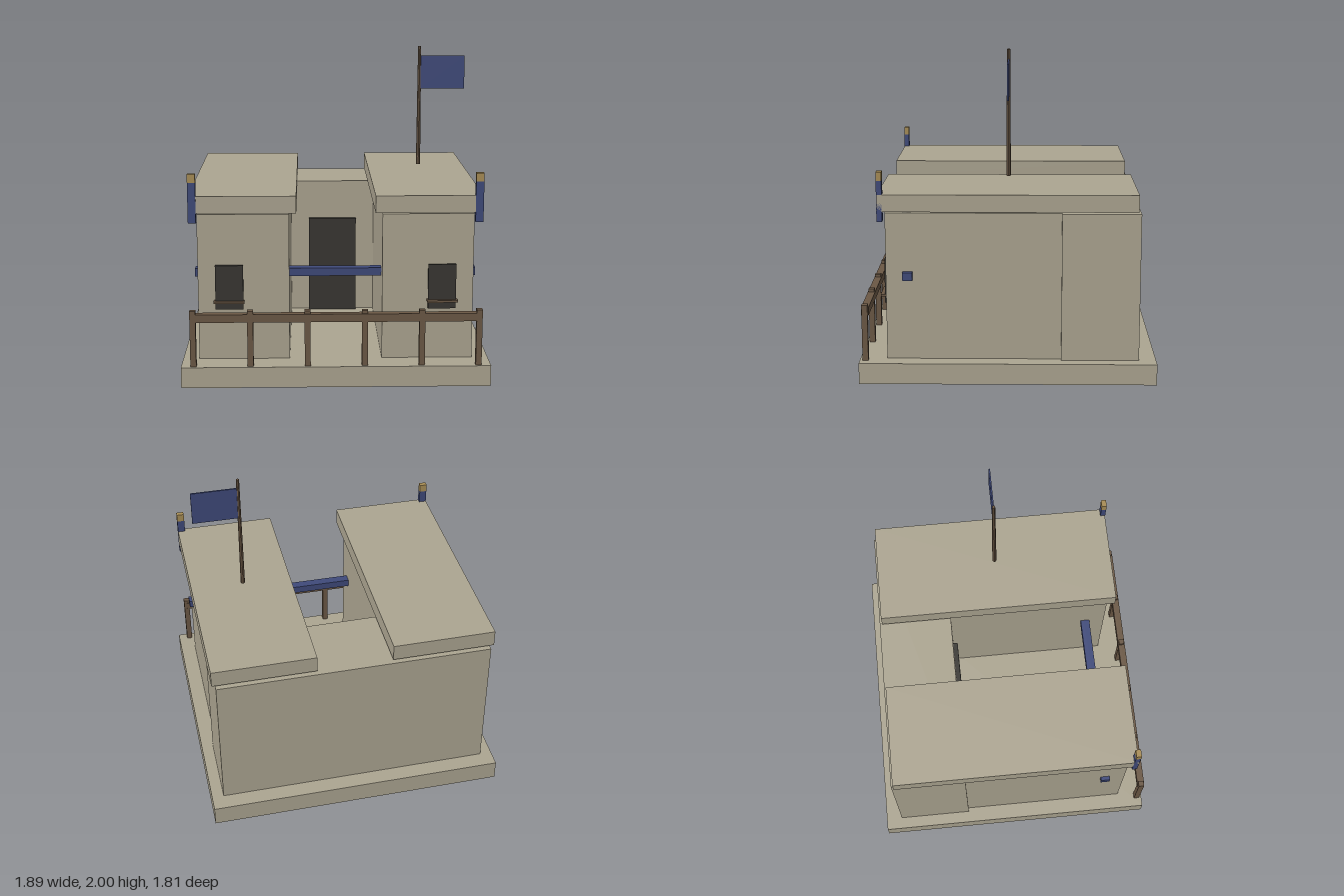
import * as THREE from 'three';

const mat = (color) => new THREE.MeshStandardMaterial({ color, flatShading: true });

export function createModel() {
  const model = new THREE.Group();
  const clay = mat(0xaca591), wood = mat(0x6b5845), dark = mat(0x383632);
  const blue = mat(0x3f4a7a), gold = mat(0xa88d55);

  const add = (name, geometry, material, x, y, z) => {
    const mesh = new THREE.Mesh(geometry, material);
    mesh.name = name;
    mesh.position.set(x, y, z);
    model.add(mesh);
    return mesh;
  };
  // Box given by its minimum and maximum on each axis
  const box = (name, material, [x0, x1], [y0, y1], [z0, z1]) =>
    add(name, new THREE.BoxGeometry(x1 - x0, y1 - y0, z1 - z0), material,
      (x0 + x1) / 2, (y0 + y1) / 2, (z0 + z1) / 2);

  // Plinth and rear block with its recessed doorway
  box('base', clay, [-0.945, 0.945], [0, 0.13], [-0.905, 0.905]);
  box('rearBlock', clay, [-0.87, 0.87], [0.13, 1.045], [-0.8, -0.325]);
  box('door', dark, [-0.163, 0.163], [0.13, 0.785], [-0.325, -0.295]);

  // Beam running through both wings
  box('crossBeam', blue, [-0.87, 0.87], [0.63, 0.68], [0.578, 0.638]);

  // Mirrored wings
  for (const s of [-1, 1]) {
    const side = s > 0 ? 'left' : 'right';
    const span = (a, b) => (s > 0 ? [a, b] : [-b, -a]);
    box(side + 'Wing', clay, span(0.285, 0.845), [0.13, 1.045], [-0.325, 0.74]);
    box(side + 'Roof', clay, span(0.24, 0.893), [1.06, 1.165], [-0.782, 0.78]);
    box(side + 'Window', dark, span(0.567, 0.738), [0.452, 0.73], [0.738, 0.76]);
    box(side + 'WindowSill', wood, span(0.56, 0.748), [0.495, 0.508], [0.74, 0.785]);
    box(side + 'CornerPost', blue, span(0.845, 0.893), [1.0, 1.25], [0.75, 0.783]);
    box(side + 'CornerPostCap', gold, span(0.845, 0.893), [1.25, 1.302], [0.75, 0.783]);
    // Low mounds between wall and roof
    for (const x of [0.625, 0.765]) {
      const mound = add(side + 'RoofMound', new THREE.SphereGeometry(0.07, 12, 8), clay, s * x, 1.045, 0.61);
      mound.scale.y = 0.3;
    }
  }

  // Front fence
  box('fenceRail', wood, [-0.87, 0.87], [0.41, 0.46], [0.847, 0.893]);
  for (let i = 0; i < 6; i++) {
    const x = -0.87 + i * 0.348;
    box('fencePost', wood, [x - 0.018, x + 0.018], [0.13, 0.48], [0.852, 0.888]);
  }

  // Flagpole and flag
  add('flagpole', new THREE.CylinderGeometry(0.01, 0.014, 0.78, 8), wood, 0.563, 1.61, 0);
  box('flag', blue, [0.57, 0.858], [1.722, 1.938], [-0.005, 0.005]);

  return model;
}
